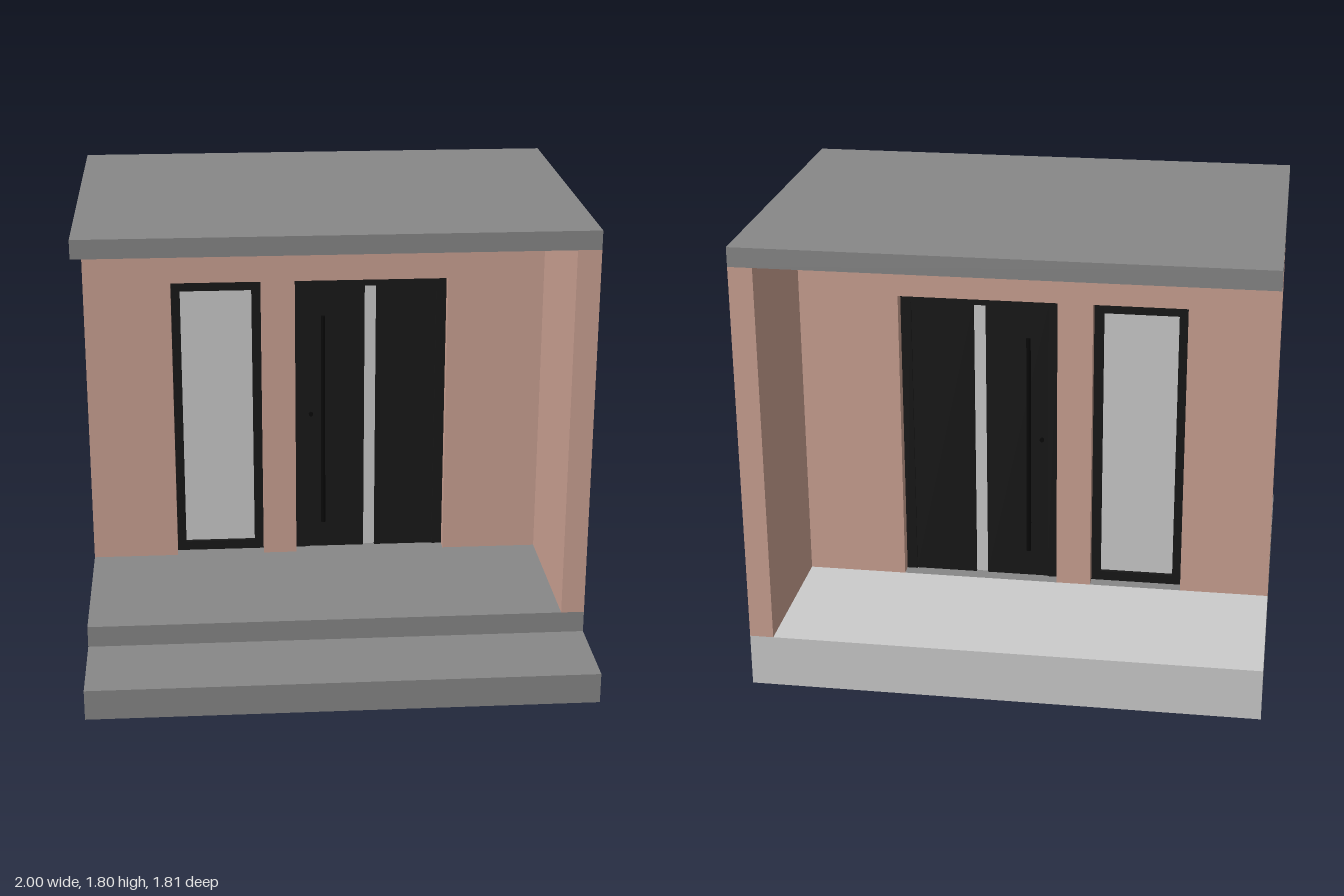
import * as THREE from 'three';

const FLOOR = 0.21, CEIL = 1.725, HEAD = 1.43;
const FRONT = 0.535, BACK = -0.905;
const WALL_BACK = -0.288, WALL_FRONT = -0.135;
const MID = (WALL_BACK + WALL_FRONT) / 2;

const mat = (color) => new THREE.MeshStandardMaterial({ color });

export function createModel() {
  const model = new THREE.Group();
  const concrete = mat(0x888888), plaster = mat(0xcca293), black = mat(0x181818);
  const grey = mat(0xcccccc), metal = mat(0x080808);

  const add = (name, geometry, material, parent = model) => {
    const mesh = new THREE.Mesh(geometry, material);
    mesh.name = name;
    parent.add(mesh);
    return mesh;
  };
  // box given by its limits on each axis
  const box = (name, x0, x1, y0, y1, z0, z1, material, parent) =>
    add(name, new THREE.BoxGeometry(x1 - x0, y1 - y0, z1 - z0)
      .translate((x0 + x1) / 2, (y0 + y1) / 2, (z0 + z1) / 2), material, parent);
  const group = (name) => {
    const g = new THREE.Group();
    g.name = name;
    model.add(g);
    return g;
  };

  // ground slabs, step and roof
  box('porchSlab', -1, 1, 0, FLOOR, WALL_BACK, FRONT, concrete);
  box('interiorSlab', -1, 1, 0, FLOOR, BACK, WALL_BACK, grey);
  box('frontStep', -1, 1, 0, 0.123, FRONT, 0.905, concrete);
  box('roofSlab', -1, 1, CEIL, 1.8, BACK, FRONT, concrete);

  // walls: the cross wall is notched for the window and the door
  box('sideWall', 0.907, 1, FLOOR, CEIL, BACK, FRONT, plaster);
  const outline = [
    [-1, FLOOR], [-0.642, FLOOR], [-0.642, HEAD], [-0.27, HEAD], [-0.27, FLOOR],
    [-0.13, FLOOR], [-0.13, HEAD], [0.507, HEAD], [0.507, FLOOR],
    [0.907, FLOOR], [0.907, CEIL], [-1, CEIL],
  ].map(([x, y]) => new THREE.Vector2(x, y));
  add('crossWall', new THREE.ExtrudeGeometry(new THREE.Shape(outline), {
    depth: WALL_FRONT - WALL_BACK, bevelEnabled: false,
  }).translate(0, 0, WALL_BACK), plaster);

  // tall window
  const z0 = MID - 0.026, z1 = MID + 0.026;
  const win = group('window');
  box('windowJambRight', -0.642, -0.605, FLOOR, HEAD, z0, z1, black, win);
  box('windowJambLeft', -0.308, -0.27, FLOOR, HEAD, z0, z1, black, win);
  box('windowSill', -0.605, -0.308, FLOOR, 0.25, z0, z1, black, win);
  box('windowHead', -0.605, -0.308, 1.38, HEAD, z0, z1, black, win);
  box('windowGlass', -0.605, -0.308, 0.25, 1.38, MID - 0.01, MID + 0.01, grey, win);

  // door: frame, leaf and side panel with a narrow glass strip between
  const door = group('door');
  box('doorJambRight', -0.13, -0.087, FLOOR, HEAD, z0, z1, black, door);
  box('doorJambLeft', 0.465, 0.507, FLOOR, HEAD, z0, z1, black, door);
  box('doorHead', -0.087, 0.465, 1.39, HEAD, z0, z1, black, door);
  box('doorLeaf', -0.087, 0.165, FLOOR, 1.39, z0 + 0.006, z1 - 0.006, black, door);
  box('doorSidePanel', 0.213, 0.465, FLOOR, 1.39, z0 + 0.006, z1 - 0.006, black, door);
  box('doorGlassStrip', 0.165, 0.213, FLOOR, 1.39, MID - 0.01, MID + 0.01, grey, door);

  // pull bar on brackets and lock on both faces of the door
  for (const side of [1, -1]) {
    const face = MID + side * 0.02;
    const bar = add('pullBar', new THREE.CylinderGeometry(0.009, 0.009, 0.93, 16), metal, door);
    bar.position.set(-0.012, 0.805, face + side * 0.035);
    for (const y of [0.45, 1.16]) {
      const bracket = add('pullBracket', new THREE.CylinderGeometry(0.006, 0.006, 0.035, 12), metal, door);
      bracket.rotation.x = Math.PI / 2;
      bracket.position.set(-0.012, y, face + side * 0.0175);
    }
    const lock = add('lock', new THREE.CylinderGeometry(0.009, 0.009, 0.01, 16), metal, door);
    lock.rotation.x = Math.PI / 2;
    lock.position.set(-0.062, 0.825, face + side * 0.004);
  }
  return model;
}
